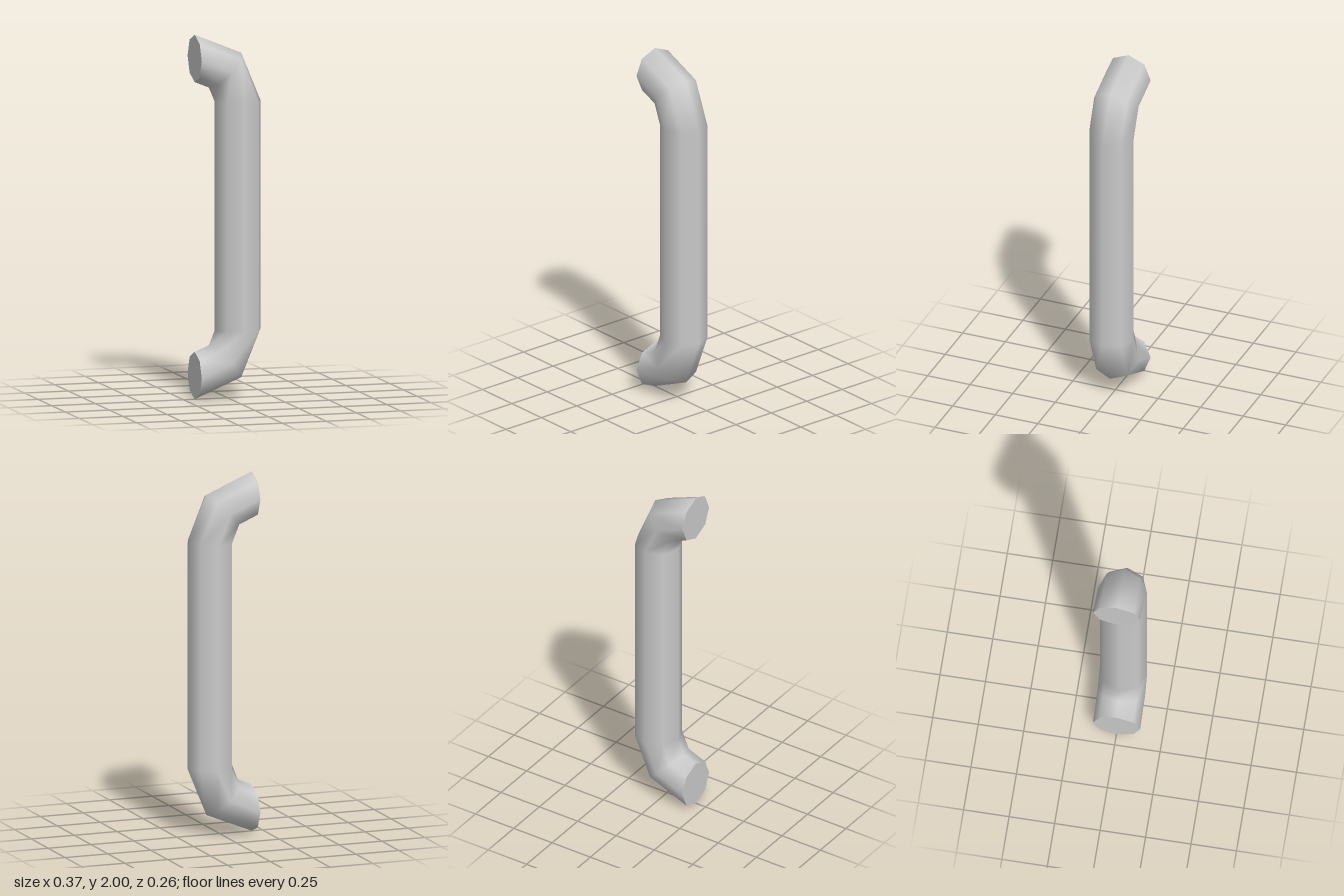
import * as THREE from 'three';

const TUBE = 0.13;   // bar radius
const BEND = 0.244;  // bend radius of the centre line
const SIDES = 8;
const BACK = -0.187; // plane of the mounting ends

// Octagonal rings swept along: lower bend, straight grip, upper bend
function barGeometry() {
  const rings = [[0.374, -90], [0.374, -45], [0.374, 0], [1.626, 0], [1.626, 45], [1.626, 90]];
  const position = [], normal = [], index = [];
  for (const [pivotY, degrees] of rings) {
    const t = THREE.MathUtils.degToRad(degrees);
    const out = new THREE.Vector3(Math.cos(t), Math.sin(t), 0);
    const centre = new THREE.Vector3(BACK, pivotY, 0).addScaledVector(out, BEND);
    for (let j = 0; j < SIDES; j++) {
      const a = (j / SIDES) * Math.PI * 2;
      const n = out.clone().multiplyScalar(Math.cos(a));
      n.z = Math.sin(a);
      normal.push(n.x, n.y, n.z);
      position.push(...centre.clone().addScaledVector(n, TUBE).toArray());
    }
  }
  for (let i = 0; i < rings.length - 1; i++) {
    for (let j = 0; j < SIDES; j++) {
      const a = i * SIDES + j, b = i * SIDES + (j + 1) % SIDES;
      index.push(a, a + SIDES, b, b, a + SIDES, b + SIDES);
    }
  }
  const geometry = new THREE.BufferGeometry();
  geometry.setAttribute('position', new THREE.Float32BufferAttribute(position, 3));
  geometry.setAttribute('normal', new THREE.Float32BufferAttribute(normal, 3));
  geometry.setIndex(index);
  return geometry;
}

export function createModel() {
  const model = new THREE.Group();
  model.name = 'pullHandle';
  const material = new THREE.MeshStandardMaterial({ color: 0xcccccc });

  const bar = new THREE.Mesh(barGeometry(), material);
  bar.name = 'handleBar';
  model.add(bar);

  // Flat mounting faces closing both ends
  for (const [name, y] of [['lowerMountFace', TUBE], ['upperMountFace', 2 - TUBE]]) {
    const face = new THREE.Mesh(new THREE.CircleGeometry(TUBE, SIDES), material);
    face.name = name;
    face.rotation.y = -Math.PI / 2;
    face.position.set(BACK, y, 0);
    model.add(face);
  }
  return model;
}
